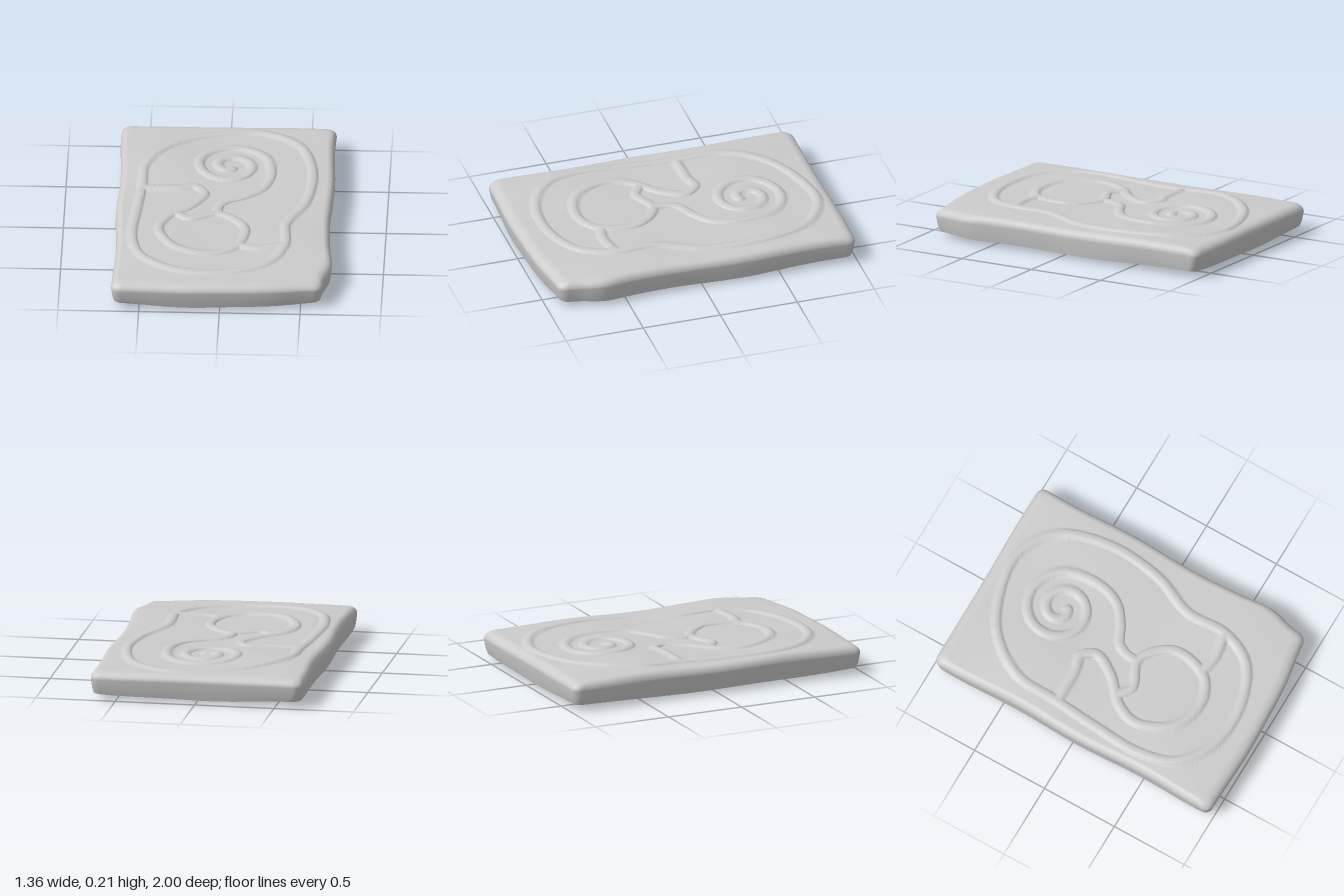
import * as THREE from 'three';

const SEGMENTS = 420;
const TOP_RINGS = 110;
const EDGE = 0.94; // where the top starts rounding over into the wall

const bump = (x, z, cx, cz, r) => Math.exp(-((x - cx) ** 2 + (z - cz) ** 2) / (r * r));

// Rounded rectangle whose sides wander a little
function slabOutline() {
  const shape = new THREE.Shape();
  const radius = 0.05;
  for (let i = 0; i < 4; i++) {
    const cx = (i < 2 ? 1 : -1) * (0.665 - radius);
    const cz = (i === 1 || i === 2 ? 1 : -1) * (0.988 - radius);
    shape.absarc(cx, cz, radius, (i - 1) * Math.PI / 2, i * Math.PI / 2, false);
  }
  shape.closePath();
  return shape.getSpacedPoints(SEGMENTS).slice(0, SEGMENTS).map(({ x, y: z }) => {
    const frontRight = bump(x, z, 0.68, 0.98, 0.3);
    const side = 0.007 * Math.sin(7 * z + (x > 0 ? 3.8 : 1.2)) + 0.025 * bump(x, z, 0.66, 0.69, 0.15);
    const end = z > 0 ? 0.012 * bump(x, z, -0.2, 1, 0.25) - 0.06 * frontRight : -0.01 * bump(x, z, 0.4, -1, 0.3);
    return new THREE.Vector2(x + Math.sign(x) * side - 0.025 * frontRight, z + end);
  });
}
const outline = slabOutline();

// Turns x, z pairs into a smooth, evenly sampled line
function trace(pairs, closed = false) {
  const points = pairs.map(([x, z]) => new THREE.Vector3(x, 0, z));
  const path = new THREE.CatmullRomCurve3(points, closed, 'centripetal');
  return path.getSpacedPoints(Math.round(path.getLength() / 0.012));
}

// Inward spiral, starting on its right side
const spiral = Array.from({ length: 28 }, (_, i) => {
  const a = i * 0.42;
  const r = 0.25 - 0.0185 * a;
  return [0.02 + r * Math.cos(a), -0.47 - r * Math.sin(a)];
});

// Centre lines of the raised relief: outer loop, arm with ring, bridge, stem with spiral
const relief = [
  trace([
    [-0.52, -0.2], [-0.5, -0.48], [-0.3, -0.75], [0.05, -0.885], [0.22, -0.88], [0.43, -0.74],
    [0.53, -0.42], [0.5, -0.05], [0.39, 0.22], [0.385, 0.5], [0.28, 0.7], [0, 0.815],
    [-0.3, 0.79], [-0.5, 0.64], [-0.56, 0.42], [-0.545, 0.1],
  ], true),
  trace([
    [-0.5, -0.185], [-0.29, -0.19], [-0.19, -0.21], [-0.13, -0.13], [-0.2, 0.01], [-0.35, 0.16],
    [-0.4, 0.31], [-0.29, 0.53], [-0.08, 0.592], [0.08, 0.51], [0.13, 0.27], [-0.03, 0.11],
    [-0.21, 0.17], [-0.29, 0.12],
  ]),
  trace([[0.09, 0.49], [0.22, 0.515], [0.38, 0.49]]),
  trace([[-0.04, 0.11], [-0.04, 0.04], [0, -0.04], [0.11, -0.1], [0.22, -0.19], [0.27, -0.32], ...spiral]),
];

// Rounded ridge height at a spot on the top
function ridge(x, z) {
  let nearest = 1;
  for (const line of relief) {
    for (const p of line) nearest = Math.min(nearest, (p.x - x) ** 2 + (p.z - z) ** 2);
  }
  return 0.014 * Math.sqrt(Math.max(0, 1 - nearest / 0.031 ** 2));
}

// Gentle unevenness of the top
function swell(x, z) {
  return 0.014 * bump(x, z, -0.35, -0.45, 0.28) + 0.008 * bump(x, z, 0.4, -0.4, 0.25)
    + 0.007 * bump(x, z, -0.4, 0.5, 0.3) + 0.007 * bump(x, z, 0.35, 0.4, 0.25)
    - 0.008 * bump(x, z, 0.1, 0, 0.3) - 0.012 * bump(x, z, 0.66, 0.95, 0.3)
    + 0.004 * Math.sin(6 * x + 1) * Math.cos(5 * z);
}

// Skins a stack of rings, each the outline scaled by s with a height rule y(x, z)
function skin(rings) {
  const position = [];
  const index = [];
  rings.forEach(({ s, y }, r) => {
    outline.forEach((p, i) => {
      const x = p.x * s, z = p.y * s;
      position.push(x, y(x, z), z);
      if (r === 0) return;
      const j = (i + 1) % SEGMENTS;
      const a = (r - 1) * SEGMENTS + i, b = r * SEGMENTS + i;
      const c = r * SEGMENTS + j, d = (r - 1) * SEGMENTS + j;
      index.push(a, c, b, a, d, c);
    });
  });
  const geometry = new THREE.BufferGeometry();
  geometry.setAttribute('position', new THREE.Float32BufferAttribute(position, 3));
  geometry.setIndex(index);
  geometry.computeVertexNormals();
  return geometry;
}

export function createModel() {
  const group = new THREE.Group();
  group.name = 'carvedSlab';
  const material = new THREE.MeshStandardMaterial({ color: 0xcccccc });
  const add = (name, rings) => {
    const mesh = new THREE.Mesh(skin(rings), material);
    mesh.name = name;
    group.add(mesh);
  };

  // Relief top
  const body = [];
  for (let i = 0; i <= TOP_RINGS; i++) {
    const s = (EDGE * i) / TOP_RINGS;
    body.push({ s, y: (x, z) => 0.187 - 0.007 * s ** 4 + swell(x, z) + ridge(x, z) });
  }
  // Rounded rim, quarter turn from the top into the wall
  for (let i = 1; i <= 6; i++) {
    const a = (i / 6) * Math.PI / 2;
    const h = 0.13 + 0.05 * Math.cos(a);
    body.push({ s: EDGE + (1 - EDGE) * Math.sin(a), y: (x, z) => h + swell(x, z) * (h - 0.05) / 0.13 });
  }
  // Wall drawing in to a lower rim that dips between the corners
  const lowerEdge = (x, z) => 0.022 + 0.02 * Math.min(1, (x / 0.66) ** 2 * z * z) + 0.003 * Math.sin(9 * x + 7 * z);
  body.push({ s: 0.99, y: (x, z) => 0.07 + 0.2 * swell(x, z) });
  body.push({ s: 0.978, y: lowerEdge });
  add('slabTop', body);

  // Shallow underside falling to the centre
  const under = [];
  for (let i = 0; i <= 12; i++) {
    const k = 1 - i / 12;
    under.push({ s: 0.978 * k, y: (x, z) => (k > 0 ? lowerEdge(x / k, z / k) * k ** 1.3 : 0) });
  }
  add('underside', under);
  return group;
}
